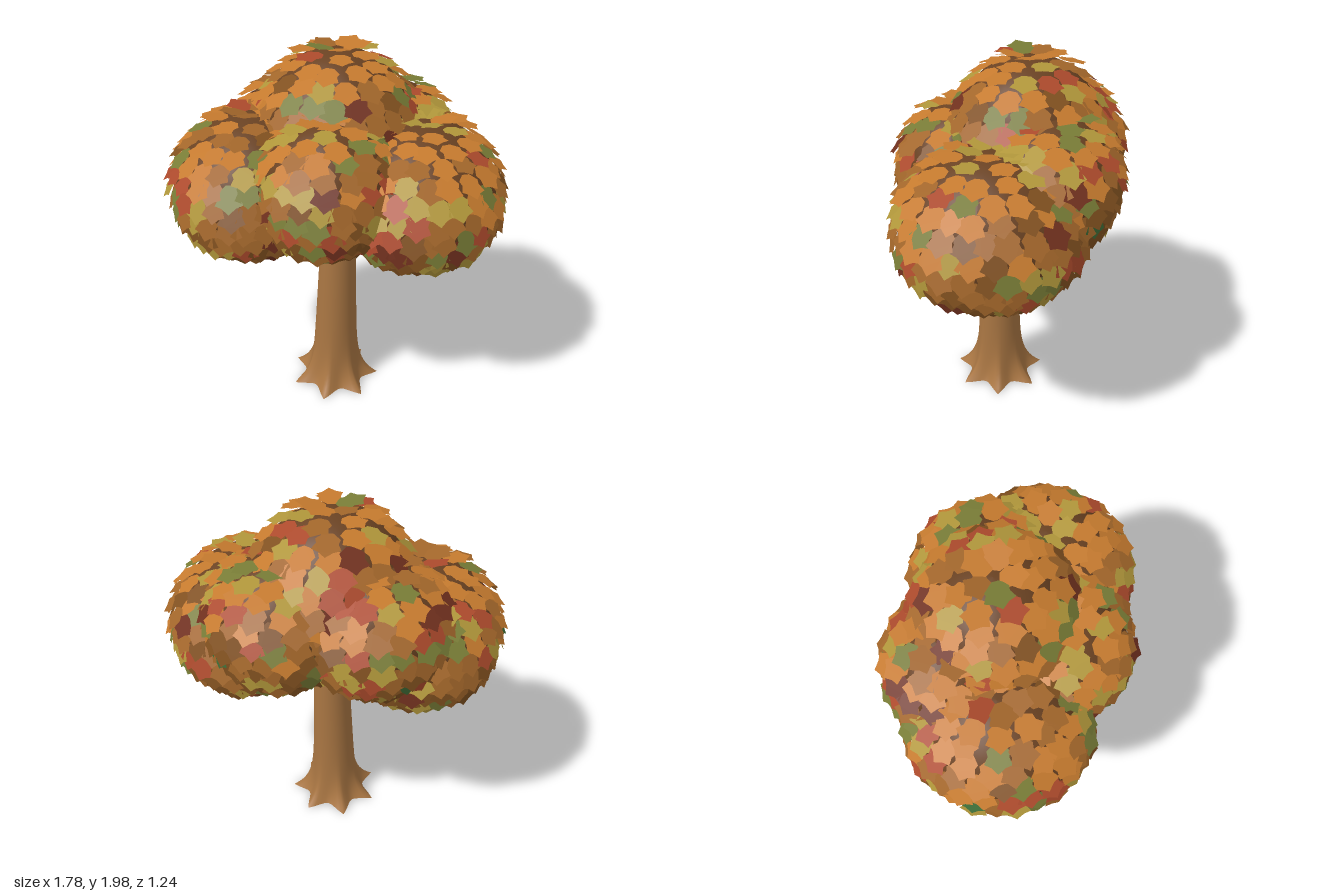
import * as THREE from 'three';
import { mergeGeometries } from 'three/addons/utils/BufferGeometryUtils.js';

// Foliage lobes: centre, radii (x, upper y, z) and depth below the centre
const LOBES = [
  { c: [-0.44, 1.24, 0.03], r: [0.4, 0.4, 0.44], low: 0.33 },
  { c: [0.44, 1.24, 0.03], r: [0.4, 0.4, 0.44], low: 0.33 },
  { c: [-0.01, 1.35, 0.25], r: [0.33, 0.35, 0.31], low: 0.31 },
  { c: [-0.23, 1.42, -0.24], r: [0.35, 0.33, 0.32], low: 0.31 },
  { c: [0.23, 1.42, -0.24], r: [0.35, 0.33, 0.32], low: 0.31 },
  { c: [-0.01, 1.53, -0.1], r: [0.39, 0.42, 0.38], low: 0.3 },
];
// Leaf colours with their share of the whole; the first three are ordered by shade
const COLORS = [
  ['orange', 0xc57a2e, 0.52], ['brown', 0xa2662a, 0.13], ['umber', 0x80501f, 0.02], ['gold', 0xb0963a, 0.12],
  ['red', 0xac4a2c, 0.09], ['olive', 0x787c36, 0.07], ['maroon', 0x70301e, 0.04], ['green', 0x3f6e38, 0.01],
];

function seeded(seed) {
  return () => {
    seed = (seed * 1664525 + 1013904223) % 4294967296;
    return seed / 4294967296;
  };
}

// Point on a lobe: phi runs down from the top, a goes round; the lower half is fuller
function lobePoint({ c, r, low }, phi, a) {
  const cy = Math.cos(phi), s = Math.max(0, Math.sin(phi));
  const w = cy < 0 ? Math.pow(s, 0.85) : s;
  return new THREE.Vector3(
    c[0] + r[0] * w * Math.cos(a), c[1] + cy * (cy < 0 ? low : r[1]), c[2] + r[2] * w * Math.sin(a));
}

function insideLobe(p, { c, r, low }, k) {
  const dy = p.y - c[1];
  return ((p.x - c[0]) / r[0]) ** 2 + (dy / (dy < 0 ? low : r[1])) ** 2 + ((p.z - c[2]) / r[2]) ** 2 < k;
}

function coreGeometry(lobe) {
  const g = new THREE.SphereGeometry(1, 32, 24), pos = g.attributes.position, uv = g.attributes.uv;
  for (let i = 0; i < pos.count; i++) {
    // reversed angle keeps the faces outward
    const p = lobePoint(lobe, (1 - uv.getY(i)) * Math.PI, -uv.getX(i) * 2 * Math.PI);
    pos.setXYZ(i, p.x, p.y, p.z);
  }
  g.computeVertexNormals();
  return g;
}

// Jagged leaf: stem at the origin, tip along +y, unit length
function leafGeometry() {
  const half = [[0.16, 0], [0.42, 0.24], [0.37, 0.42], [0.5, 0.68], [0.25, 0.78]];
  const pts = [...half, [0, 1], ...half.map(([x, y]) => [-x, y]).reverse()];
  return new THREE.ShapeGeometry(new THREE.Shape(pts.map(([x, y]) => new THREE.Vector2(x, y))));
}

// Overlapping rows of leaves over all lobes, sorted by colour
function buildLeaves() {
  const rand = seeded(41), leaf = leafGeometry(), sets = COLORS.map(() => []);
  let last = 0;
  // lower leaves turn from orange to brown to umber
  const pick = (phi) => {
    if (rand() > 0.25) {
      let t = rand();
      last = 0;
      while (last < COLORS.length - 1 && t > COLORS[last][2]) t -= COLORS[last++][2];
    }
    if (last > 1) return last;
    const shade = last + (rand() < phi - 0.6 ? 1 : 0) + (rand() < phi - 1.4 ? 1 : 0);
    return Math.min(2, shade);
  };
  for (const lobe of LOBES) {
    const rows = 12, start = 0.06, end = 2.3;
    for (let row = 0; row < rows; row++) {
      const phi = start + (end - start) * row / (rows - 1);
      const ring = 2 * Math.PI * Math.sin(phi) * (lobe.r[0] + lobe.r[2]) / 2;
      const n = Math.max(5, Math.round(ring / 0.09));
      for (let k = 0; k < n; k++) {
        const a = (k + (row % 2) / 2 + (rand() - 0.5) * 0.25) / n * 2 * Math.PI;
        const f = phi + (rand() - 0.5) * 0.05, e = 0.01;
        const p = lobePoint(lobe, f, a);
        if (LOBES.some((o) => o !== lobe && insideLobe(p, o, 0.85))) continue;
        const east = lobePoint(lobe, f, a + e).sub(lobePoint(lobe, f, a - e)).normalize();
        const down = lobePoint(lobe, f + e, a).sub(lobePoint(lobe, f - e, a)).normalize();
        const normal = east.clone().cross(down).normalize();
        // tip lifts off the surface and swings a little sideways
        const y = down.addScaledVector(normal, 0.12 + rand() * 0.18).addScaledVector(east, (rand() - 0.5) * 0.3).normalize();
        const x = y.clone().cross(normal).normalize();
        const z = x.clone().cross(y);
        const size = 0.128 + rand() * 0.02;
        const m = new THREE.Matrix4().makeBasis(x, y, z)
          .scale(new THREE.Vector3(size * 0.95, size, size))
          .setPosition(p.addScaledVector(normal, 0.004));
        sets[pick(f)].push(leaf.clone().applyMatrix4(m));
      }
    }
  }
  return sets;
}

// Trunk: tapered column flaring into pointed roots at the ground
function trunkGeometry() {
  const sides = 56, rows = 28, height = 1.15;
  const g = new THREE.CylinderGeometry(1, 1, height, sides, rows, true), pos = g.attributes.position;
  for (let i = 0; i < pos.count; i++) {
    const t = pos.getY(i) / height + 0.5, a = Math.atan2(pos.getZ(i), pos.getX(i));
    const y = height * Math.pow(t, 1.5);
    const flare = Math.exp(-y / 0.085), root = 1 - 2 * Math.abs(Math.sin(3.5 * a + 0.39));
    const r = 0.132 - 0.036 * Math.min(1, y / 0.95) + flare * (0.082 + 0.042 * root);
    const lift = 0.01 * flare * (1 - root) / 2;
    pos.setXYZ(i, 0.02 * y + r * Math.cos(a), y + lift, 0.055 - 0.01 * y + r * Math.sin(a));
  }
  g.computeVertexNormals();
  // match the normals across the seam
  const nor = g.attributes.normal, n = new THREE.Vector3(), w = new THREE.Vector3();
  for (let j = 0; j <= rows; j++) {
    const s = j * (sides + 1), e = s + sides;
    n.fromBufferAttribute(nor, s).add(w.fromBufferAttribute(nor, e)).normalize();
    for (const i of [s, e]) nor.setXYZ(i, n.x, n.y, n.z);
  }
  return g;
}

// Branch from the trunk top into a lobe, thinning along its length
function branchGeometry([x, y, z]) {
  const v = (a, b, c) => new THREE.Vector3(a, b, c);
  const curve = new THREE.CatmullRomCurve3([
    v(0.02, 0.8, 0.045), v(0.02 + x * 0.1, 0.96, 0.045 + z * 0.1), v(x * 0.42, 1.12, 0.03 + z * 0.42), v(x * 0.8, y + 0.04, z * 0.8)]);
  const seg = 14, sides = 14, g = new THREE.TubeGeometry(curve, seg, 0.075, sides);
  const pos = g.attributes.position, p = v(0, 0, 0);
  for (let i = 0; i < pos.count; i++) {
    const t = Math.floor(i / (sides + 1)) / seg, c = curve.getPointAt(t);
    p.fromBufferAttribute(pos, i).sub(c).multiplyScalar(1 - 0.55 * t).add(c);
    pos.setXYZ(i, p.x, p.y, p.z);
  }
  return g;
}

export function createModel() {
  const model = new THREE.Group();
  model.name = 'autumnTree';
  const add = (parent, name, geometry, material) => {
    const mesh = new THREE.Mesh(geometry, material);
    mesh.name = name;
    parent.add(mesh);
  };

  // Trunk and branches
  const bark = new THREE.MeshStandardMaterial({ color: 0xa87542, side: THREE.DoubleSide });
  add(model, 'trunk', trunkGeometry(), bark);
  const branches = new THREE.Group();
  branches.name = 'branches';
  LOBES.slice(0, 5).forEach((l) => add(branches, 'branch', branchGeometry(l.c), bark));
  model.add(branches);

  // Dark foliage cores under the leaves
  const canopy = new THREE.Group();
  canopy.name = 'canopy';
  const dark = new THREE.MeshStandardMaterial({ color: 0x6a4222 });
  LOBES.forEach((l) => add(canopy, 'foliageCore', coreGeometry(l), dark));

  // Leaves
  buildLeaves().forEach((set, i) => {
    if (!set.length) return;
    const [name, color] = COLORS[i];
    add(canopy, name + 'Leaves', mergeGeometries(set), new THREE.MeshStandardMaterial({ color, side: THREE.DoubleSide }));
  });
  model.add(canopy);
  return model;
}
